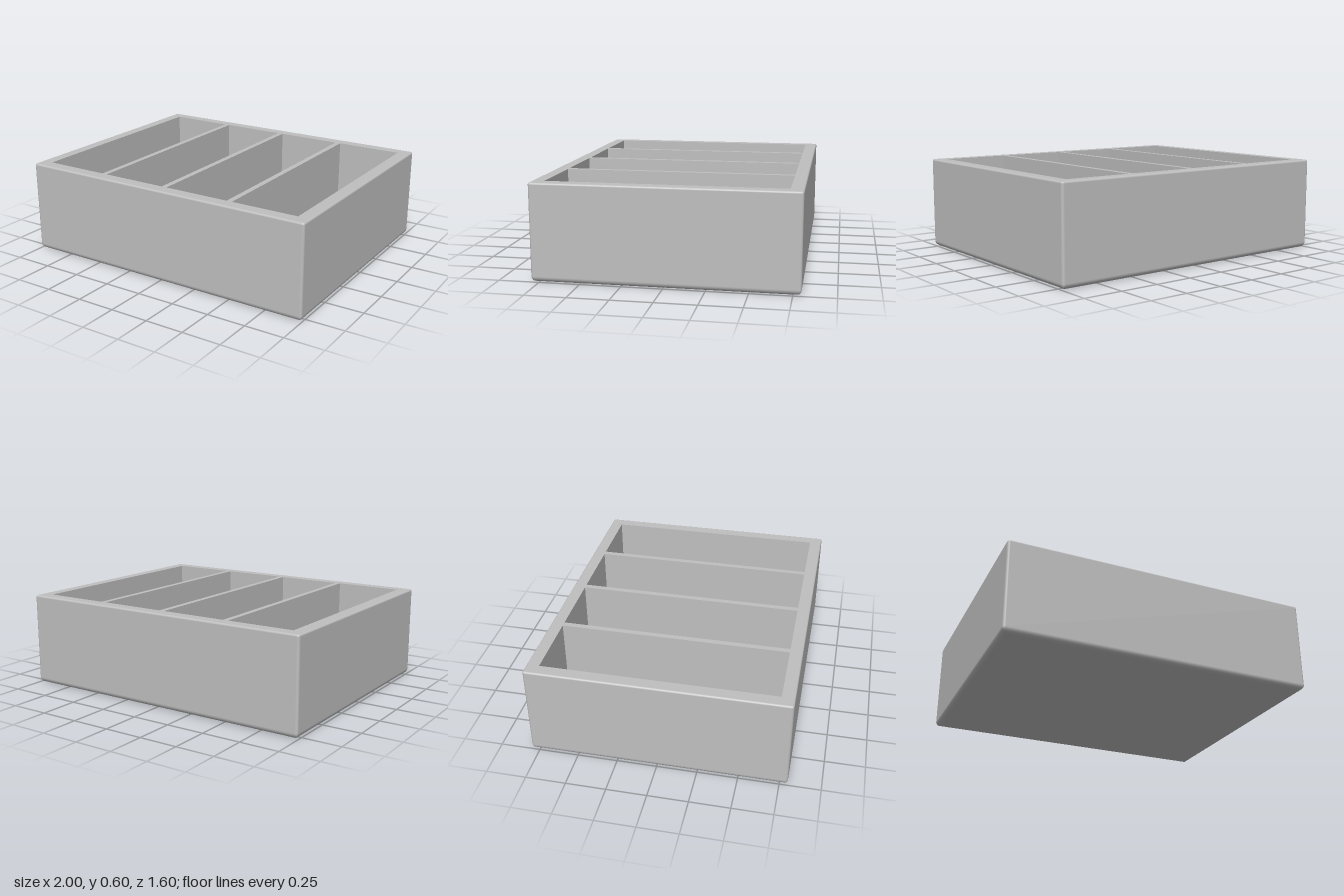
import * as THREE from 'three';

const W = 2, H = 0.6, D = 1.6;            // outer size
const WALL = 0.08, DIVIDER = 0.036, FLOOR = 0.08, SLOTS = 4;
const CORNER = 0.016, BOTTOM = 0.035, TOP = 0.012; // edge radii
const STEPS = 6;                          // segments per rounded edge

// Rounded rectangle, inset from the outer size: list of [x, z, angle]
function ring(inset) {
  const r = Math.max(CORNER - inset, 0.002), points = [];
  for (let c = 0; c < 4; c++) {
    const sx = c === 0 || c === 3 ? 1 : -1, sz = c < 2 ? 1 : -1;
    for (let i = 0; i <= STEPS; i++) {
      const a = (c + i / STEPS) * Math.PI / 2;
      points.push([
        sx * (W / 2 - inset - r) + r * Math.cos(a),
        sz * (D / 2 - inset - r) + r * Math.sin(a), a]);
    }
  }
  return points;
}

// Outer walls: rings stacked along a profile with a rounded bottom and top edge
function shellGeometry() {
  const profile = [];
  for (let i = 0; i <= STEPS; i++) {
    const t = (i / STEPS - 1) * Math.PI / 2;
    profile.push([BOTTOM * (1 - Math.cos(t)), BOTTOM * (1 + Math.sin(t)), t]);
  }
  for (let i = 0; i <= STEPS; i++) {
    const t = (i / STEPS) * Math.PI / 2;
    profile.push([TOP * (1 - Math.cos(t)), H - TOP * (1 - Math.sin(t)), t]);
  }
  const pos = [], nor = [], idx = [], n = 4 * (STEPS + 1);
  profile.forEach(([inset, y, t], row) => {
    ring(inset).forEach(([x, z, a], i) => {
      pos.push(x, y, z);
      nor.push(Math.cos(a) * Math.cos(t), Math.sin(t), Math.sin(a) * Math.cos(t));
      if (row === 0) return;
      const j = (i + 1) % n, b = (row - 1) * n, u = row * n;
      idx.push(b + i, u + i, b + j, b + j, u + i, u + j);
    });
  });
  const geo = new THREE.BufferGeometry();
  geo.setAttribute('position', new THREE.Float32BufferAttribute(pos, 3));
  geo.setAttribute('normal', new THREE.Float32BufferAttribute(nor, 3));
  geo.setIndex(idx);
  return geo;
}

// Flat plate outline in the shape plane
function outline(inset) {
  return new THREE.Shape(ring(inset).map(([x, z]) => new THREE.Vector2(x, z)));
}

// Open-topped pocket whose faces look inwards
function pocketGeometry(w, h, d) {
  const geo = new THREE.BoxGeometry(w, h, d);
  const idx = Array.from(geo.index.array);
  idx.splice(12, 6);                      // drop the top face
  geo.setIndex(idx.reverse());            // turn the faces inwards
  geo.clearGroups();
  geo.computeVertexNormals();
  return geo;
}

export function createModel() {
  const model = new THREE.Group();
  model.name = 'dividedTray';
  const grey = new THREE.MeshStandardMaterial({ color: 0xbfbfbf });
  grey.name = 'lightGrey';
  const add = (name, geo) => {
    const mesh = new THREE.Mesh(geo, grey);
    mesh.name = name;
    model.add(mesh);
    return mesh;
  };

  add('outerWalls', shellGeometry());
  add('underside', new THREE.ShapeGeometry(outline(BOTTOM)).rotateX(Math.PI / 2));

  // Compartments, and the rim with an opening over each of them
  const rim = outline(TOP);
  const slotW = (W - 2 * WALL - (SLOTS - 1) * DIVIDER) / SLOTS;
  const slotD = D - 2 * WALL, slotH = H - FLOOR;
  for (let i = 0; i < SLOTS; i++) {
    const x = (i - (SLOTS - 1) / 2) * (slotW + DIVIDER);
    const l = x - slotW / 2, r = x + slotW / 2, z = slotD / 2;
    rim.holes.push(new THREE.Path([[l, -z], [l, z], [r, z], [r, -z]]
      .map(p => new THREE.Vector2(...p))));
    add('compartment' + (i + 1), pocketGeometry(slotW, slotH, slotD))
      .position.set(x, FLOOR + slotH / 2, 0);
  }
  add('rimAndDividerTops', new THREE.ShapeGeometry(rim).rotateX(-Math.PI / 2))
    .position.y = H;

  return model;
}
